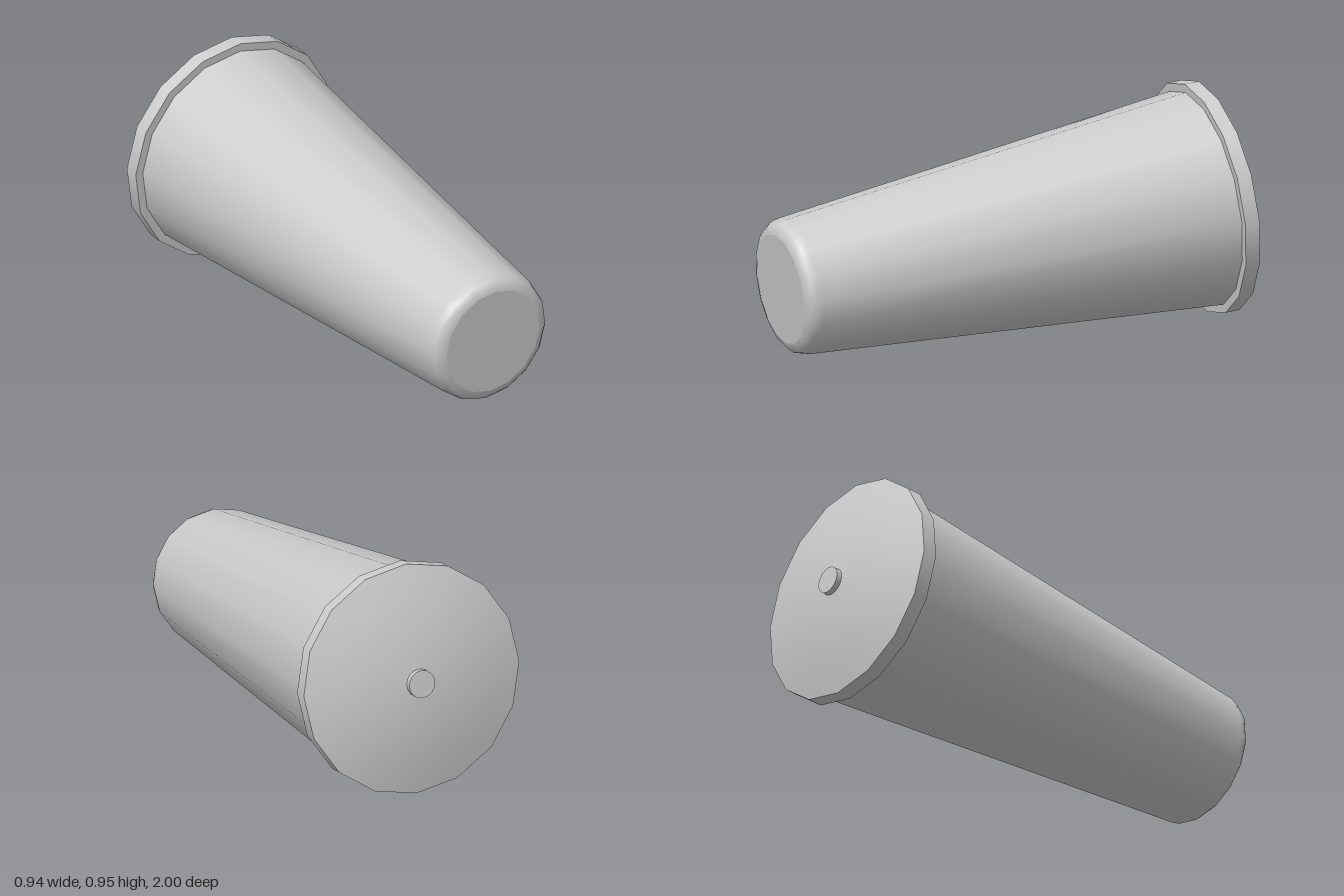
import * as THREE from 'three';

const material = new THREE.MeshStandardMaterial({ color: 0xcccccc });

// One smooth lathe per profile section, so edges between sections stay sharp.
function turned(name, sections, sides = 16) {
  const part = new THREE.Group();
  part.name = name;
  for (const [section, points] of Object.entries(sections)) {
    const profile = points.map(([r, h]) => new THREE.Vector2(r, h));
    const mesh = new THREE.Mesh(new THREE.LatheGeometry(profile, sides), material);
    mesh.name = section;
    part.add(mesh);
  }
  return part;
}

export function createModel() {
  const model = new THREE.Group();
  model.name = 'bin';

  // Everything is turned around an upright axis, then laid down on its side.
  const bin = new THREE.Group();
  bin.name = 'lyingBin';
  model.add(bin);

  // Tapered body with a rounded lower edge
  bin.add(turned('body', {
    base: [[0, 0], [0.224, 0]],
    wall: [[0.224, 0], [0.248, 0.006], [0.268, 0.025], [0.278, 0.056], [0.438, 1.82]],
  }));

  // Overhanging lid with a shallow dome
  bin.add(turned('lid', {
    lidUnderside: [[0, 1.82], [0.472, 1.82]],
    lidRim: [[0.472, 1.82], [0.472, 1.882]],
    lidDome: [[0.472, 1.882], [0.36, 1.914], [0.24, 1.94], [0.12, 1.956], [0, 1.962]],
  }));

  // Small round knob
  bin.add(turned('knob', {
    knobSide: [[0.057, 1.945], [0.057, 1.983]],
    knobTop: [[0.057, 1.983], [0, 1.983]],
  }));

  // Lay the bin down, base to the front, resting on its lid rim and lower wall
  bin.rotation.x = THREE.MathUtils.degToRad(-84);
  bin.position.set(0, 0.279, 0.977);
  return model;
}
